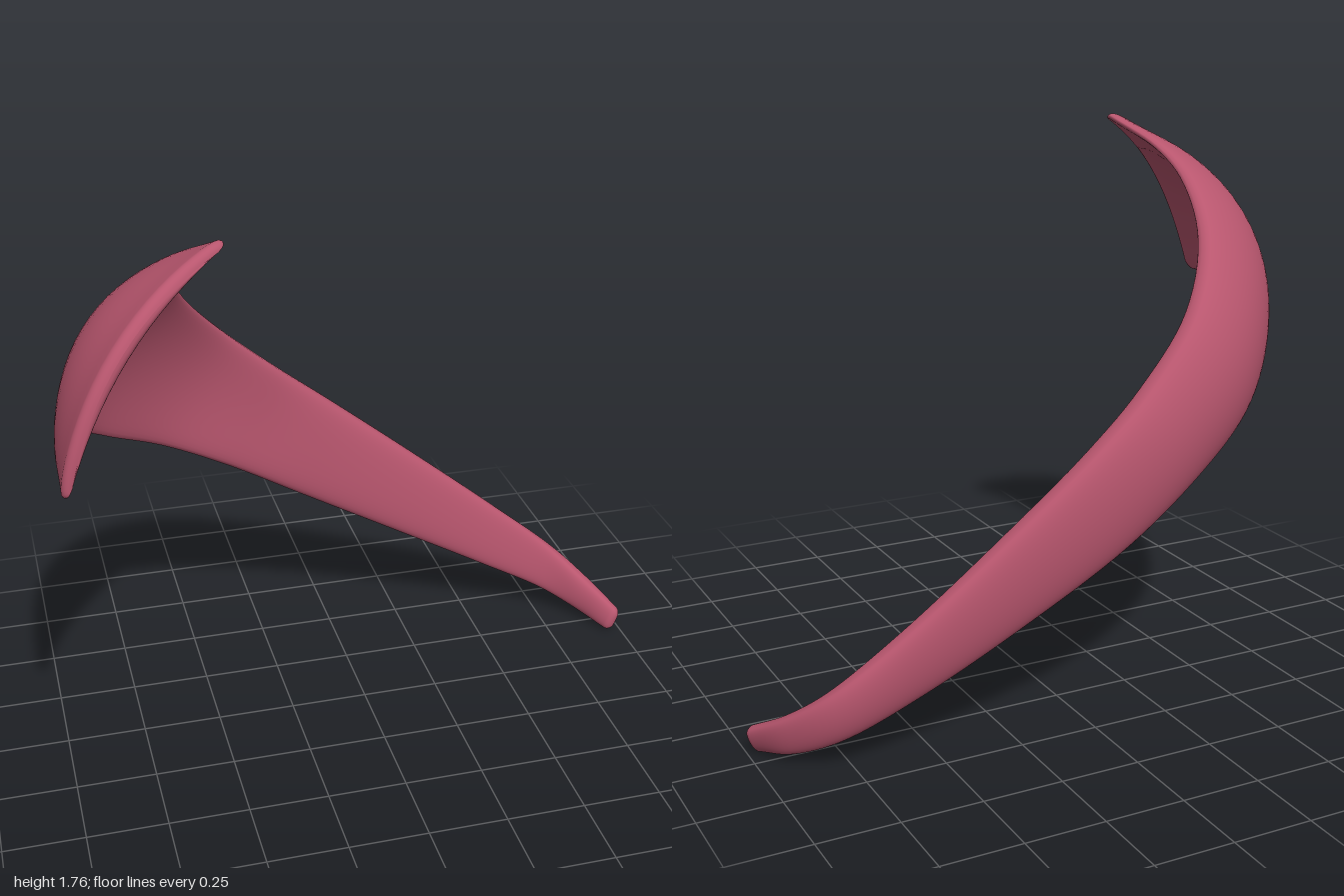
import * as THREE from 'three';

// Stations from the broad end to the narrow tip:
// upper edge xyz, lower edge xyz, thickness, outward bow
const STATIONS = [
  [-0.475, 1.765, 0.28, -0.975, 1.17, 0.525, 0.055, 0.10],
  [-0.555, 1.685, 0.13, -0.96, 1.175, 0.26, 0.065, 0.095],
  [-0.58, 1.60, 0.00, -0.89, 1.11, 0.00, 0.075, 0.08],
  [-0.53, 1.44, -0.20, -0.76, 0.99, -0.19, 0.09, 0.06],
  [-0.38, 1.24, -0.375, -0.59, 0.87, -0.34, 0.105, 0.04],
  [-0.18, 1.05, -0.455, -0.37, 0.73, -0.425, 0.115, 0.025],
  [0.00, 0.90, -0.485, -0.10, 0.56, -0.465, 0.115, 0.01],
  [0.30, 0.66, -0.48, 0.24, 0.37, -0.457, 0.10, 0.005],
  [0.60, 0.42, -0.45, 0.56, 0.20, -0.425, 0.085, 0.005],
  [0.80, 0.26, -0.395, 0.78, 0.09, -0.375, 0.075, 0.005],
  [0.91, 0.16, -0.295, 0.89, 0.035, -0.285, 0.065, 0],
  [0.985, 0.09, -0.18, 0.95, 0.01, -0.18, 0.05, 0],
];
const AROUND = 48, ALONG = 72, CAP = 6;

const curveOf = (pick) => new THREE.CatmullRomCurve3(
  STATIONS.map((s) => new THREE.Vector3(...pick(s))));

function bandGeometry() {
  const upper = curveOf((s) => s.slice(0, 3));
  const lower = curveOf((s) => s.slice(3, 6));
  const size = curveOf((s) => [s[6], s[7], 0]);
  const middle = (t) => upper.getPoint(t).add(lower.getPoint(t)).multiplyScalar(0.5);

  // Rings: rounded rim, body, rounded tip
  const rings = [];
  for (let i = CAP; i > 0; i--) rings.push([0, -i / CAP]);
  for (let i = 0; i <= ALONG; i++) rings.push([i / ALONG, 0]);
  for (let i = 1; i <= CAP; i++) rings.push([1, i / CAP]);

  const positions = [], index = [];
  for (const [t, cap] of rings) {
    const tangent = middle(Math.min(1, t + 0.01)).sub(middle(Math.max(0, t - 0.01))).normalize();
    const across = upper.getPoint(t).sub(lower.getPoint(t));
    const half = across.length() / 2;
    across.normalize();
    const out = across.clone().cross(tangent).normalize();
    const { x: thick, y: bow } = size.getPoint(t);
    const shrink = Math.cos(cap * Math.PI / 2);
    const push = Math.sin(cap * Math.PI / 2) * thick / 2;
    const width = half - (1 - shrink) * thick * 0.6;
    // The broad rim also bulges forward in its middle
    const rimBulge = 0.06 * Math.max(0, 1 - t / 0.2);
    for (let j = 0; j < AROUND; j++) {
      // Section with nearly flat faces and rounded edges
      const a = j / AROUND * Math.PI * 2;
      const u = Math.cos(a), s = Math.sin(a);
      const v = Math.sign(s) * Math.abs(s) ** 0.6;
      const arch = 1 - u * u;
      const p = middle(t)
        .addScaledVector(across, u * width)
        .addScaledVector(out, arch * bow + v * shrink * thick / 2)
        .addScaledVector(tangent, push - arch * rimBulge);
      positions.push(p.x, p.y, p.z);
    }
  }
  for (let i = 0; i < rings.length - 1; i++) {
    for (let j = 0; j < AROUND; j++) {
      const k = (j + 1) % AROUND;
      const a = i * AROUND + j, b = i * AROUND + k;
      index.push(a, a + AROUND, b, b, a + AROUND, b + AROUND);
    }
  }
  const geometry = new THREE.BufferGeometry();
  geometry.setAttribute('position', new THREE.Float32BufferAttribute(positions, 3));
  geometry.setIndex(index);
  geometry.computeVertexNormals();
  return geometry;
}

export function createModel() {
  const group = new THREE.Group();
  group.name = 'curvedBand';
  const rose = new THREE.MeshStandardMaterial({ color: 0xb8566e });
  rose.name = 'rose';
  const band = new THREE.Mesh(bandGeometry(), rose);
  band.name = 'taperedBand';
  group.add(band);
  return group;
}
